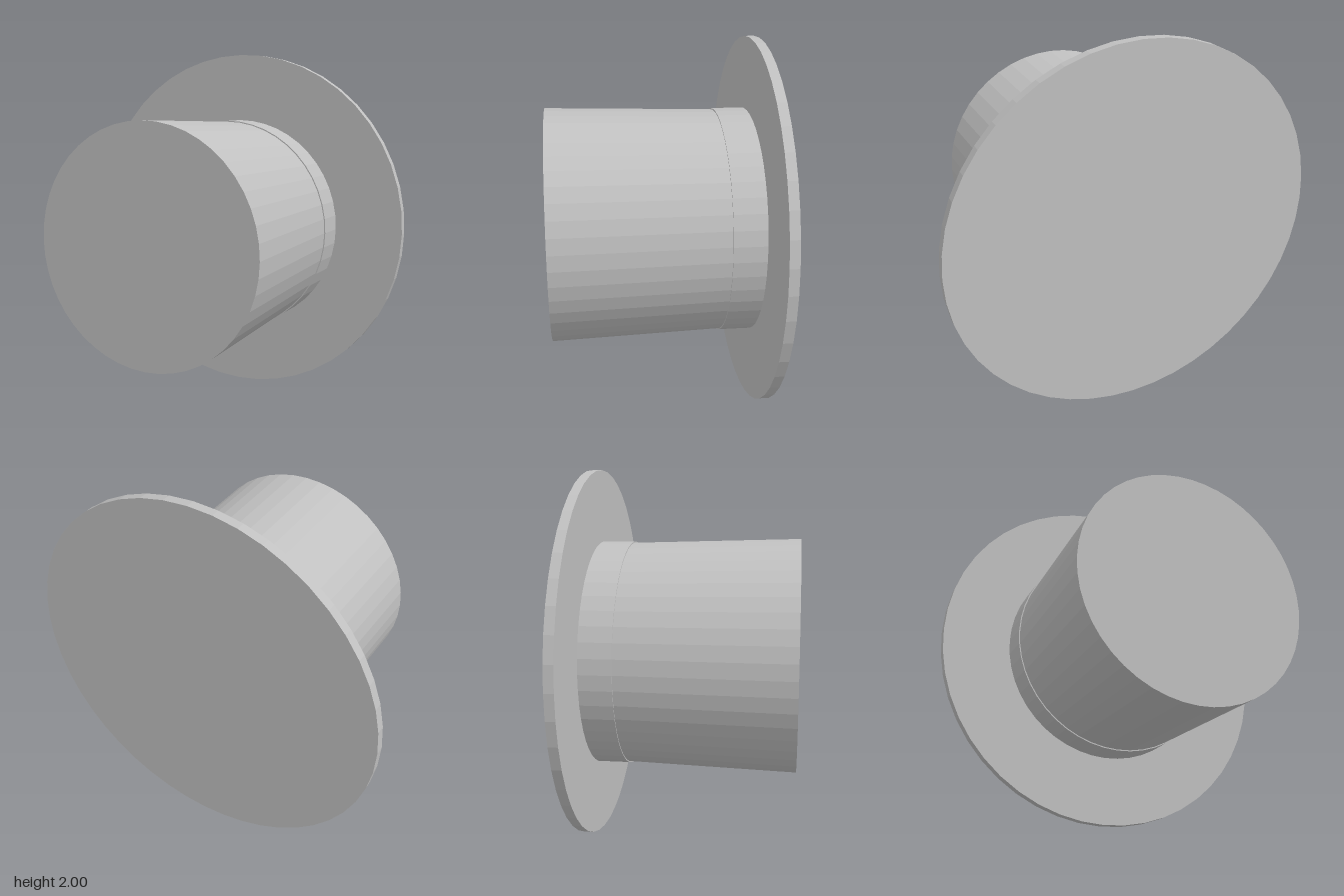
import * as THREE from 'three';

const SIDES = 48;

export function createModel() {
  const hat = new THREE.Group();
  hat.name = 'topHat';
  const grey = new THREE.MeshStandardMaterial({ color: 0xc0c0c0 });
  grey.name = 'feltGrey';
  grey.flatShading = true;

  // A round part along z, from its back end to its front end
  function round(name, backRadius, frontRadius, backZ, frontZ) {
    const geometry = new THREE.CylinderGeometry(frontRadius, backRadius, frontZ - backZ, SIDES);
    geometry.rotateX(Math.PI / 2);
    const mesh = new THREE.Mesh(geometry, grey);
    mesh.name = name;
    mesh.position.set(0, 1, (backZ + frontZ) / 2);
    hat.add(mesh);
  }

  // Wide flat brim, flaring crown and the straight band at its foot
  round('brim', 1, 1, -0.565, -0.515);
  round('crown', 0.606, 0.637, -0.515, 0.565);
  round('band', 0.617, 0.617, -0.515, -0.343);
  return hat;
}
